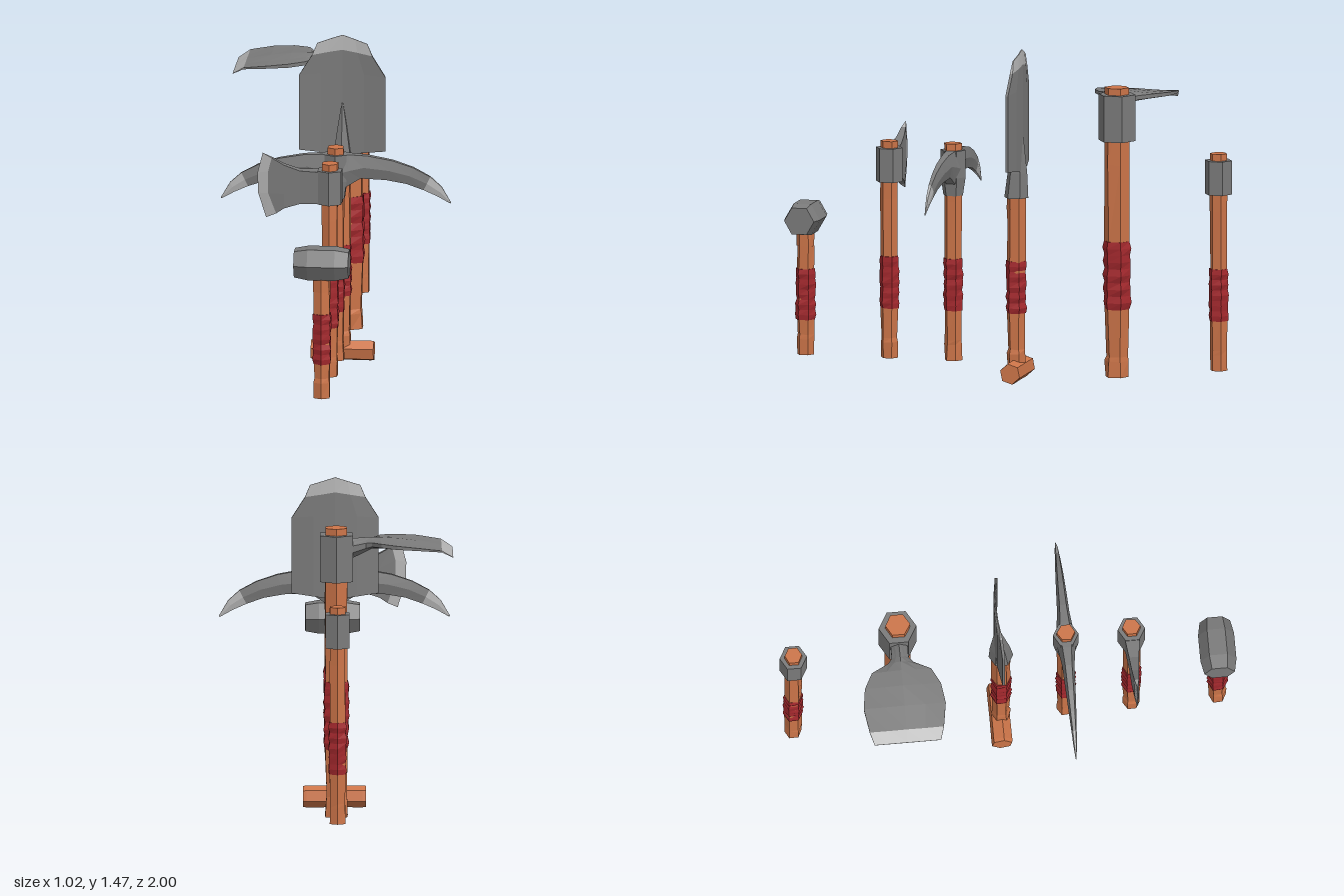
import * as THREE from 'three';

const mat = (name, color) => {
  const m = new THREE.MeshStandardMaterial({ color });
  m.name = name;
  return m;
};

// Small seeded generator for the hand-carved wobble
function makeRandom(seed) {
  return () => (seed = (seed * 16807) % 2147483647) / 2147483647;
}

// Closed flat-shaded skin through rings of equal, even point count
function loft(name, rings, material) {
  const n = rings[0].length, tris = [];
  const quad = (a, b, c, d) => tris.push([a, b, c], [a, c, d]);
  for (let r = 0; r < rings.length - 1; r++) {
    for (let i = 0; i < n; i++) {
      const j = (i + 1) % n;
      quad(rings[r][i], rings[r][j], rings[r + 1][j], rings[r + 1][i]);
    }
  }
  const first = rings[0], last = rings[rings.length - 1];
  for (let i = 0; i < n / 2 - 1; i++) {
    quad(first[n - 1 - i], first[n - 2 - i], first[i + 1], first[i]);
    quad(last[i], last[i + 1], last[n - 2 - i], last[n - 1 - i]);
  }
  // Turn the faces outward whichever way the rings run
  const v = (p) => new THREE.Vector3(...p);
  const volume = tris.reduce((s, [a, b, c]) => s + v(a).sub(v(first[0])).dot(
    v(b).sub(v(first[0])).cross(v(c).sub(v(first[0])))), 0);
  const out = volume < 0 ? tris.map(([a, b, c]) => [a, c, b]) : tris;
  const g = new THREE.BufferGeometry();
  g.setAttribute('position', new THREE.Float32BufferAttribute(out.flat(2), 3));
  g.computeVertexNormals();
  const mesh = new THREE.Mesh(g, material);
  mesh.name = name;
  return mesh;
}

// Ring around a row of points [x, y, z, k], thickened by h * k along one axis
function section(points, axis, h) {
  const side = (s) => points.map((p) => {
    const q = p.slice(0, 3);
    q[axis] += s * h * (p[3] ?? 1);
    return q;
  });
  return [...side(1), ...side(-1).reverse()];
}

// Horizontal hexagon with corners toward front and back
function hex(y, r, z = 0, wobble = () => 0) {
  return Array.from({ length: 6 }, (_, i) => {
    const a = (i * Math.PI) / 3, q = r + wobble();
    return [Math.sin(a) * q, y, Math.cos(a) * q + z];
  });
}

export function createModel() {
  const wood = mat('wood', 0xcd7549);
  const cloth = mat('red wrap', 0xa3282d);
  const steel = mat('steel', 0x7b7b7b);
  const bright = mat('sharpened steel', 0xb4b4b4);
  const model = new THREE.Group();
  model.name = 'toolSet';

  function tool(name, z, seed, [y0, y1, w0, w1], r) {
    const group = new THREE.Group();
    group.name = name;
    group.position.z = z;
    const rand = makeRandom(seed);
    const wobble = () => (rand() - 0.5) * r * 0.14;
    // Carved handle
    const ys = [y0, y0 + 0.07, y0 + 0.09, w0, w1, (w1 + y1) / 2, y1 - 0.1, y1];
    group.add(loft('handle', ys.map((y, i) => hex(y, r * (i === 2 ? 0.94 : 1), 0, wobble)), wood));
    // Wound grip
    const turns = 10;
    group.add(loft('grip', Array.from({ length: turns + 1 }, (_, i) =>
      hex(w0 + ((w1 - w0) * i) / turns, r * (i % 2 ? 1.14 : 1.06), 0, wobble)), cloth));
    model.add(group);
    return group;
  }
  const standard = [0.08, 1.04, 0.3, 0.53];

  // Hammer
  const hammer = tool('hammer', 0.922, 11, [0.08, 0.66, 0.235, 0.46], 0.04);
  const head = [[-0.12, 0.067], [-0.06, 0.079], [0.06, 0.079], [0.12, 0.067]];
  hammer.add(loft('hammerHead', head.map(([x, r]) =>
    hex(0, r).map(([a, , c]) => [x, 0.685 + a, c])), steel));

  // Axe
  const axe = tool('axe', 0.545, 23, standard, 0.039);
  axe.add(loft('axeCollar', [hex(0.86, 0.06), hex(1.01, 0.06)], steel));
  const column = (x, top, bottom) => [0, 1, 2, 3].map((i) => [x, top + ((bottom - top) * i) / 3, 0]);
  const bevel = section([[-0.255, 1.06, 0], [-0.27, 1.0, 0], [-0.27, 0.9, 0], [-0.235, 0.81, 0]], 2, 0.01);
  axe.add(loft('axeBlade', [
    section(column(-0.03, 1.005, 0.865), 2, 0.034),
    section(column(-0.13, 1.007, 0.858), 2, 0.022),
    section(column(-0.2, 1.03, 0.835), 2, 0.016),
    bevel], steel));
  axe.add(loft('axeEdge', [bevel,
    section([[-0.295, 1.08, 0], [-0.318, 0.99, 0], [-0.315, 0.9, 0], [-0.28, 0.79, 0]], 2, 0.0015)], bright));

  // Pickaxe
  const pick = tool('pickaxe', 0.257, 37, standard, 0.039);
  pick.add(loft('pickCollar', [hex(0.81, 0.044), hex(0.89, 0.056), hex(1.01, 0.056)], steel));
  for (const s of [1, -1]) {
    // x and y of upper edge, x and y of lower edge, half thickness
    const arm = [
      [0.02, 1.01, 0.02, 0.85, 0.042], [0.06, 1.01, 0.055, 0.87, 0.036],
      [0.14, 1.005, 0.11, 0.903, 0.027], [0.25, 0.985, 0.22, 0.898, 0.022],
      [0.34, 0.955, 0.31, 0.882, 0.017], [0.415, 0.915, 0.385, 0.855, 0.012],
      [0.465, 0.87, 0.445, 0.828, 0.008], [0.506, 0.8, 0.502, 0.796, 0.002],
    ].map(([xt, yt, xb, yb, h]) => section([
      [s * xt, yt, 0, 0.55], [(s * (xt + xb)) / 2, (yt + yb) / 2, 0, 1], [s * xb, yb, 0, 0.55]], 2, h));
    pick.add(loft('pickArm', arm.slice(0, 6), steel));
    pick.add(loft('pickTip', arm.slice(5), bright));
  }

  // Shovel
  const shovel = tool('shovel', -0.028, 41, [0.05, 0.86, 0.3, 0.53], 0.041);
  shovel.add(loft('shovelSocket', [hex(0.81, 0.054), hex(0.92, 0.044, -0.005),
    hex(1.06, 0.022, -0.012), hex(1.16, 0.004, -0.014)], steel));
  const across = [-1, -0.5, 0, 0.5, 1];
  const blade = [[0.95, 0.925, 0.19], [1.285, 1.3, 0.19], [1.377, 1.4, 0.132], [1.43, 1.466, 0.11]]
    .map(([edge, mid, w], i) => section(across.map((t) =>
      [t * w, mid + (edge - mid) * Math.abs(t), -0.024 + 0.02 * t * t * (w / 0.19)]),
    2, i === 3 ? 0.002 : 0.006));
  shovel.add(loft('shovelBlade', blade.slice(0, 3), steel));
  shovel.add(loft('shovelEdge', blade.slice(2), bright));
  // Cross grip, turned slightly around its length
  const bar = [[-0.135, 0.046], [-0.12, 0.048], [0, 0.047], [0.125, 0.048], [0.14, 0.046]];
  shovel.add(loft('crossGrip', bar.map(([x, r]) => Array.from({ length: 6 }, (_, i) => {
    const a = (i * Math.PI) / 3 + 0.2;
    return [x, 0.048 + Math.cos(a) * r, -0.006 + Math.sin(a) * r];
  })), wood));

  // Hoe
  const hoe = tool('hoe', -0.482, 59, [0.035, 1.315, 0.335, 0.635], 0.055);
  hoe.add(loft('hoeCollar', [hex(1.08, 0.083), hex(1.285, 0.083)], steel));
  // x, half width, height, half thickness
  const hoeRings = [
    [-0.04, 0.036, 1.215, 0.05], [-0.13, 0.037, 1.24, 0.032], [-0.155, 0.055, 1.247, 0.026],
    [-0.195, 0.13, 1.248, 0.024], [-0.265, 0.167, 1.245, 0.023], [-0.355, 0.18, 1.24, 0.017],
    [-0.46, 0.163, 1.228, 0.01], [-0.51, 0.146, 1.205, 0.0015],
  ].map(([x, w, y, h], i) => section(across.map((t) =>
    [x, y + (i > 2 && i < 7 ? 0.006 * t * t : 0), t * w, 1 - 0.65 * Math.abs(t)]), 1, h));
  hoe.add(loft('hoeBlade', hoeRings.slice(0, 7), steel));
  hoe.add(loft('hoeEdge', hoeRings.slice(6), bright));

  // Bare handle with collar
  const spare = tool('spareHandle', -0.94, 71, standard, 0.039);
  spare.add(loft('spareCollar', [hex(0.86, 0.06), hex(1.01, 0.06)], steel));

  return model;
}
